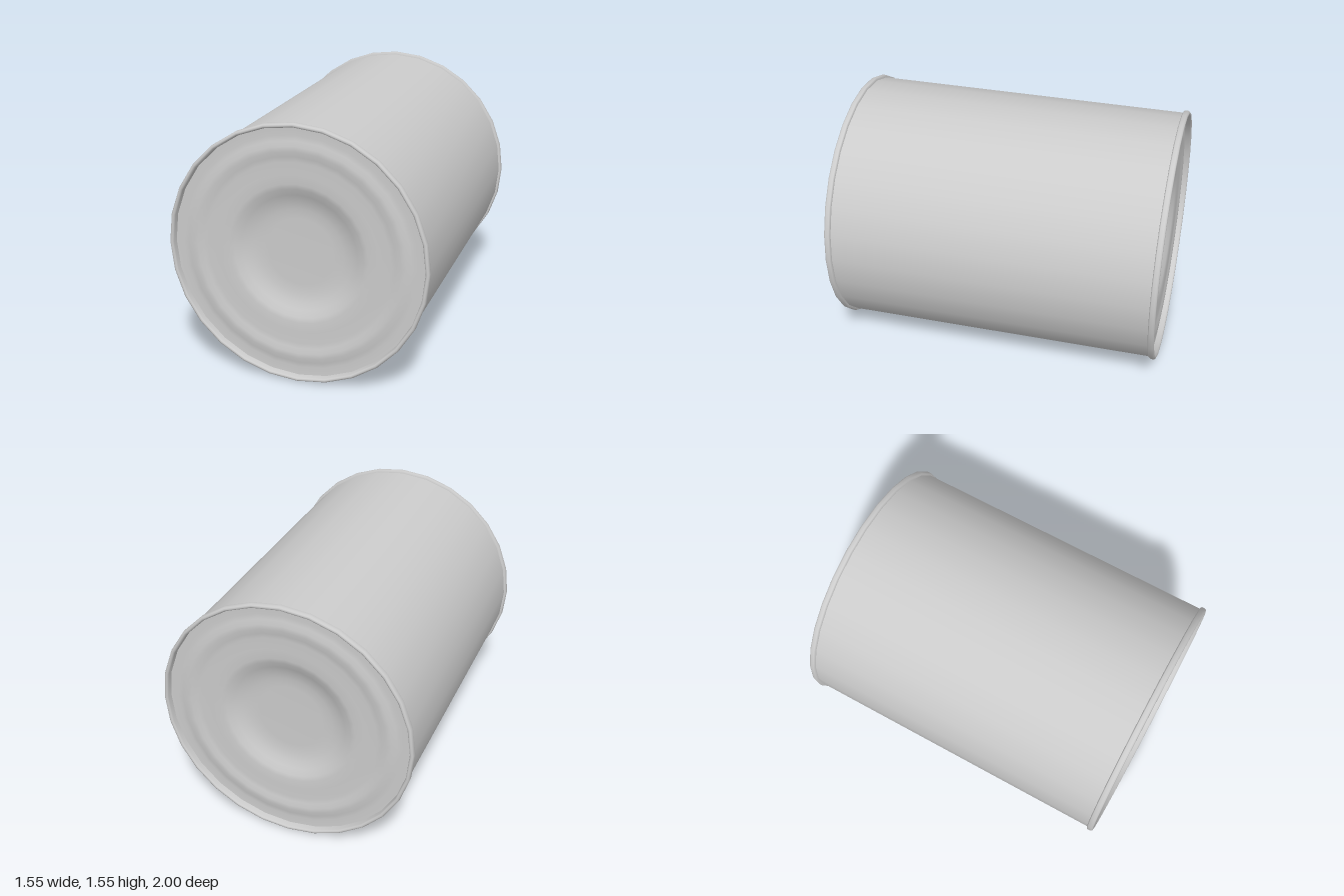
import * as THREE from 'three';

const SIDES = 28;
const RADIUS = 0.777;
const material = new THREE.MeshStandardMaterial({ color: 0xcccccc, side: THREE.DoubleSide });

// Turns a list of [radius, z] points around the z axis
function turned(name, points) {
  const geometry = new THREE.LatheGeometry(points.map(([r, z]) => new THREE.Vector2(r, z)), SIDES);
  geometry.rotateX(Math.PI / 2);
  const mesh = new THREE.Mesh(geometry, material);
  mesh.name = name;
  return mesh;
}

// One end of the can: rolled rim and pressed lid, facing +z
function canEnd(name) {
  const end = new THREE.Group();
  end.name = name;
  end.add(
    turned('rim', [
      [0.76, 0.96], [0.772, 0.962], [RADIUS, 0.968], [RADIUS, 0.988],
      [0.772, 0.997], [0.764, 1], [0.756, 0.997], [0.752, 0.988], [0.75, 0.96],
    ]),
    // shallow outer groove, low raised ring, then a dished centre
    turned('lid', [
      [0.75, 0.96], [0.7, 0.958], [0.67, 0.962], [0.64, 0.97], [0.61, 0.97],
      [0.58, 0.962], [0.55, 0.958], [0.48, 0.958], [0.42, 0.957], [0.39, 0.95],
      [0.35, 0.932], [0.31, 0.915], [0.26, 0.904], [0.2, 0.9], [0, 0.9],
    ]),
  );
  return end;
}

export function createModel() {
  const can = new THREE.Group();
  can.name = 'can';

  // Straight wall lying along z
  can.add(turned('body', [[0.762, -0.965], [0.762, 0.965]]));

  // Matching ends
  const front = canEnd('frontEnd');
  const back = canEnd('backEnd');
  back.rotation.y = Math.PI;
  can.add(front, back);

  can.position.y = RADIUS;
  const model = new THREE.Group();
  model.add(can);
  return model;
}
